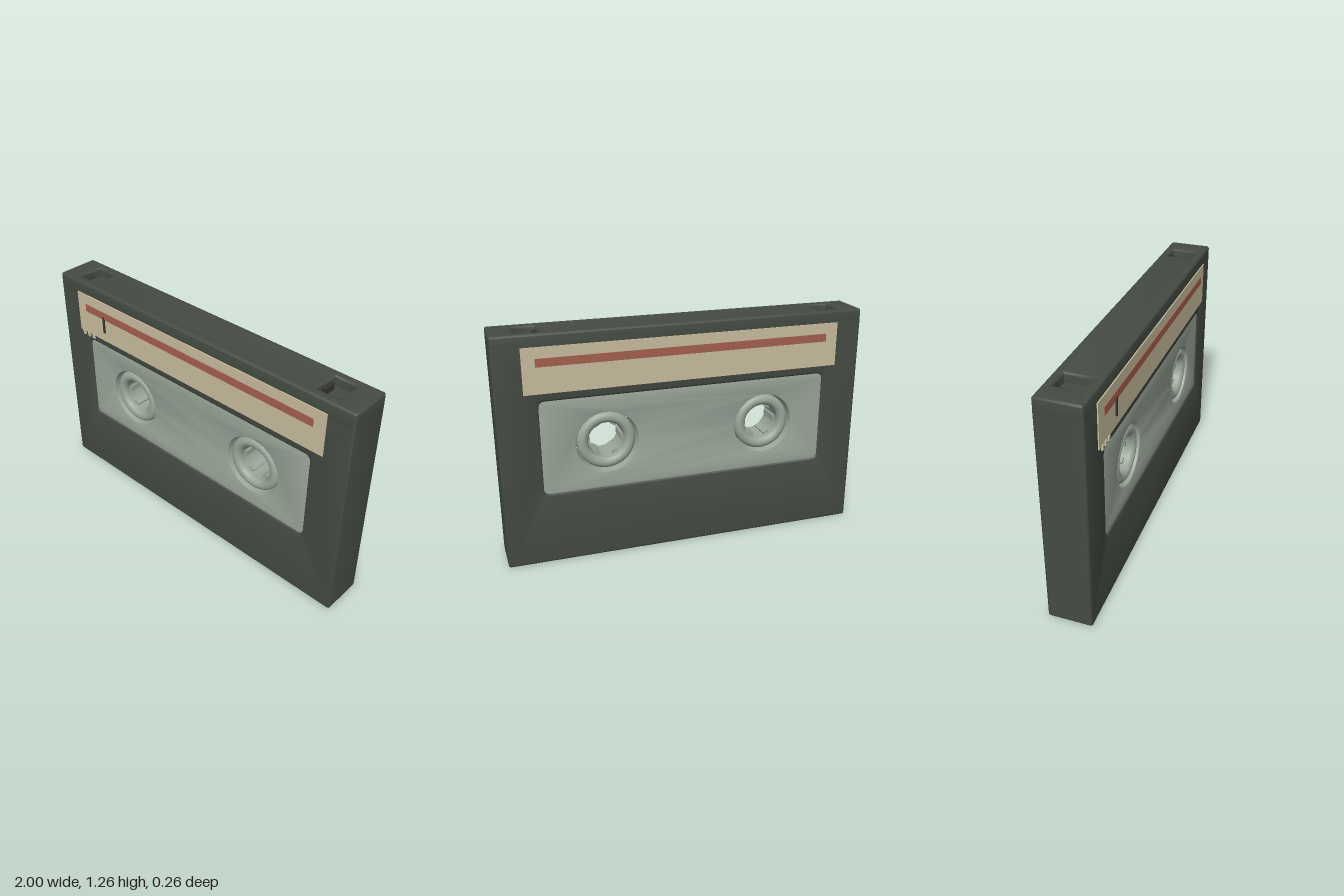
import * as THREE from 'three';
import { toCreasedNormals } from 'three/addons/utils/BufferGeometryUtils.js';

const W = 2, H = 1.26, D = 0.236, BEVEL = 0.014;
const HUB_X = 0.44, HUB_Y = 0.655;

const material = (name, color) => {
  const m = new THREE.MeshStandardMaterial({ color });
  m.name = name;
  return m;
};

// Rounded rectangle from its limits, as a Shape or a hole Path
function roundRect(target, x0, y0, x1, y1, r) {
  target.moveTo(x0 + r, y0);
  target.lineTo(x1 - r, y0);
  target.absarc(x1 - r, y0 + r, r, -Math.PI / 2, 0);
  target.lineTo(x1, y1 - r);
  target.absarc(x1 - r, y1 - r, r, 0, Math.PI / 2);
  target.lineTo(x0 + r, y1);
  target.absarc(x0 + r, y1 - r, r, Math.PI / 2, Math.PI);
  target.lineTo(x0, y0 + r);
  target.absarc(x0 + r, y0 + r, r, Math.PI, Math.PI * 1.5);
  return target;
}

// Extrusion of exact total depth with softened edges, centred on z = 0
function slab(shape, depth, bevel) {
  const g = new THREE.ExtrudeGeometry(shape, {
    depth: depth - 2 * bevel, bevelEnabled: true, bevelThickness: bevel,
    bevelSize: bevel, bevelOffset: -bevel, bevelSegments: 3, curveSegments: 40,
  });
  g.translate(0, 0, -(depth - 2 * bevel) / 2);
  return toCreasedNormals(g, 0.6);
}

export function createModel() {
  const shellMat = material('charcoal shell', 0x454b43);
  const panelMat = material('grey green plastic', 0x9aa699);
  const labelMat = material('cream paper', 0xc8bd9f);
  const stripeMat = material('rust stripe', 0xa4604e);
  const inkMat = material('dark ink', 0x34362f);

  const group = new THREE.Group();
  group.name = 'cassette';
  const add = (name, geometry, mat, parent = group) => {
    const mesh = new THREE.Mesh(geometry, mat);
    mesh.name = name;
    parent.add(mesh);
    return mesh;
  };
  const box = (name, x0, x1, y0, y1, z0, z1, mat) => {
    const mesh = add(name, new THREE.BoxGeometry(x1 - x0, y1 - y0, z1 - z0), mat);
    mesh.position.set((x0 + x1) / 2, (y0 + y1) / 2, (z0 + z1) / 2);
    return mesh;
  };

  // Shell with the window cut through; its top face is the floor of the pits
  const pitFloor = 1.21;
  const shell = roundRect(new THREE.Shape(), -W / 2, 0, W / 2, pitFloor, BEVEL);
  shell.holes.push(roundRect(new THREE.Path(), -0.785, 0.4, 0.785, 0.91, 0.03));
  add('shell', slab(shell, D, 0.012), shellMat);

  // Top cap with two square pits, overlapping the shell below
  const cap = roundRect(new THREE.Shape(), -W / 2, -D / 2, W / 2, D / 2, BEVEL);
  for (const x of [-0.82, 0.815]) {
    cap.holes.push(roundRect(new THREE.Path(), x - 0.06, -0.065, x + 0.06, 0.072, 0.002));
  }
  const capHeight = 0.1;
  const capGeometry = slab(cap, capHeight, 0.012);
  capGeometry.rotateX(-Math.PI / 2);
  add('topCap', capGeometry, shellMat).position.y = H - capHeight / 2;
  box('recordTab', 0.754, 0.775, pitFloor, 1.245, -0.04, 0.03, inkMat);

  // Window panel with a round opening for each hub
  const panel = roundRect(new THREE.Shape(), -0.79, 0.395, 0.79, 0.915, 0.035);
  for (const s of [-1, 1]) {
    panel.holes.push(new THREE.Path().absarc(s * HUB_X, HUB_Y, 0.167, 0, Math.PI * 2, true));
  }
  add('windowPanel', slab(panel, 0.222, 0.004), panelMat);

  // Hubs: rounded rings with six drive teeth inside
  const profile = [];
  const ringR = 0.127, halfTube = 0.03, halfLength = 0.075;
  for (let i = 0; i <= 32; i++) {
    const a = (i / 32) * Math.PI * 2;
    const end = Math.sin(a) >= 0 ? 1 : -1;
    profile.push(new THREE.Vector2(ringR + halfTube * Math.cos(a),
      (i === 32 ? 1 : end) * halfLength + halfTube * Math.sin(a)));
  }
  const ringGeometry = new THREE.LatheGeometry(profile, 56);
  ringGeometry.rotateX(Math.PI / 2);
  const toothGeometry = new THREE.BoxGeometry(0.022, 0.034, 0.12);
  for (const s of [-1, 1]) {
    const hub = new THREE.Group();
    hub.name = s > 0 ? 'leftHub' : 'rightHub';
    hub.position.set(s * HUB_X, HUB_Y, 0);
    group.add(hub);
    add('hubRing', ringGeometry, panelMat, hub);
    for (let i = 0; i < 6; i++) {
      const a = (i * Math.PI) / 3;
      const tooth = add('driveTooth', toothGeometry, panelMat, hub);
      tooth.position.set(Math.cos(a) * 0.094, Math.sin(a) * 0.094, 0);
      tooth.rotation.z = a;
    }
  }

  // Paper label and stripe on both faces
  for (const s of [-1, 1]) {
    const layer = (name, x, y0, y1, a, b, mat) =>
      box(name, -x, x, y0, y1, Math.min(s * a, s * b), Math.max(s * a, s * b), mat);
    layer('label', 0.857, 0.955, 1.195, 0.117, 0.124, labelMat);
    layer('labelStripe', 0.79, 1.095, 1.138, 0.123, 0.128, stripeMat);
  }

  // Front details: ink tick and three small paper tabs under the label
  box('inkTick', -0.651, -0.637, 1.01, 1.108, 0.123, 0.13, inkMat);
  for (const x of [-0.822, -0.783, -0.744]) {
    box('paperTab', x - 0.009, x + 0.009, 0.936, 0.962, 0.122, 0.13, labelMat);
  }

  return group;
}
